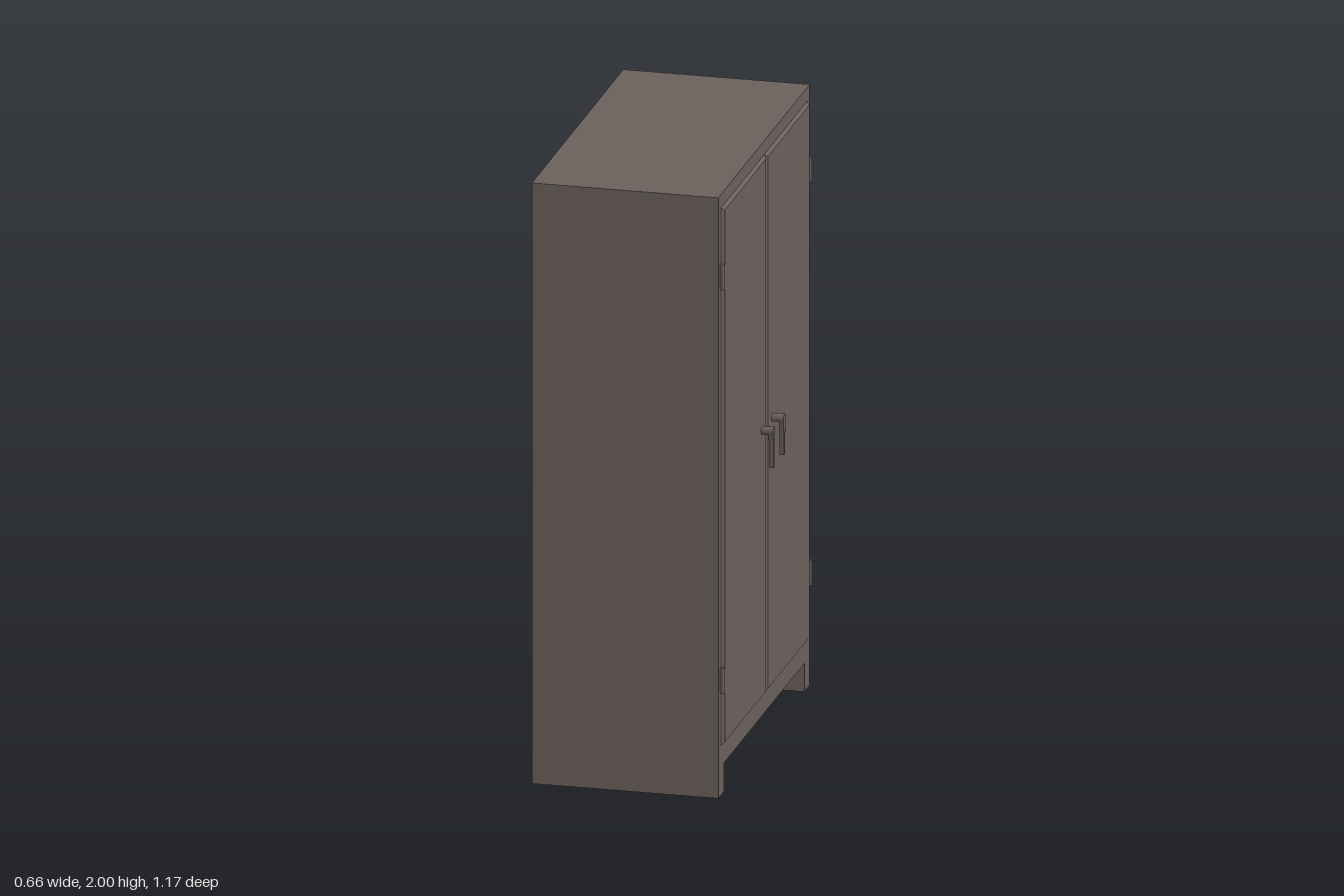
import * as THREE from 'three';

export function createModel() {
  const group = new THREE.Group();
  const paint = new THREE.MeshStandardMaterial({ color: 0x6a605c });
  paint.name = 'warm grey paint';

  const add = (geometry, name, x, y, z) => {
    const mesh = new THREE.Mesh(geometry, paint);
    mesh.name = name;
    mesh.position.set(x, y, z);
    group.add(mesh);
    return mesh;
  };

  // Cabinet body: an arch-like outline swept through the depth, leaving runner legs
  const w = 0.587, inner = 0.517, gap = 0.095;
  const outline = new THREE.Shape([
    [-w, 0], [-inner, 0], [-inner, gap], [inner, gap],
    [inner, 0], [w, 0], [w, 2], [-w, 2],
  ].map(([x, y]) => new THREE.Vector2(x, y)));
  const bodyGeometry = new THREE.ExtrudeGeometry(outline, { depth: 0.608, bevelEnabled: false });
  bodyGeometry.rotateY(Math.PI / 2);
  add(bodyGeometry, 'cabinetBody', -0.33, 0, 0);

  // Door panel: a thin box whose outer face is drawn in to make a chamfer
  function doorGeometry(height, width) {
    const thick = 0.011, chamfer = 0.01;
    const g = new THREE.BoxGeometry(thick, height, width);
    const p = g.attributes.position;
    for (let i = 0; i < p.count; i++) {
      if (p.getX(i) > 0) {
        p.setY(i, p.getY(i) - Math.sign(p.getY(i)) * chamfer);
        p.setZ(i, p.getZ(i) - Math.sign(p.getZ(i)) * chamfer);
      }
    }
    g.computeVertexNormals();
    return g;
  }

  // Lever outline: round head tapering to a narrow tip
  const lever = new THREE.Shape();
  lever.absarc(0, 0, 0.015, -0.5, Math.PI + 0.5, false);
  lever.lineTo(-0.010, -0.03);
  lever.lineTo(-0.004, -0.122);
  lever.lineTo(0.004, -0.122);
  lever.lineTo(0.010, -0.03);
  lever.closePath();
  const leverGeometry = new THREE.ExtrudeGeometry(lever, {
    depth: 0.015, bevelEnabled: false, curveSegments: 10,
  });
  leverGeometry.rotateY(Math.PI / 2);

  const stemGeometry = new THREE.CylinderGeometry(0.013, 0.013, 0.028, 20);
  stemGeometry.rotateZ(-Math.PI / 2);
  const hingeGeometry = new THREE.CylinderGeometry(0.008, 0.008, 0.083, 16);

  for (const side of [1, -1]) {
    const label = side > 0 ? 'front' : 'rear';
    add(doorGeometry(1.792, 0.552), label + 'Door', 0.2825, 1.06, side * 0.277);
    for (const y of [0.385, 1.728]) add(hingeGeometry, label + 'Hinge', 0.285, y, side * 0.559);
    add(stemGeometry, label + 'HandleStem', 0.3, 1.06, side * 0.067);
    add(leverGeometry, label + 'HandleLever', 0.313, 1.06, side * 0.067);
  }
  return group;
}
